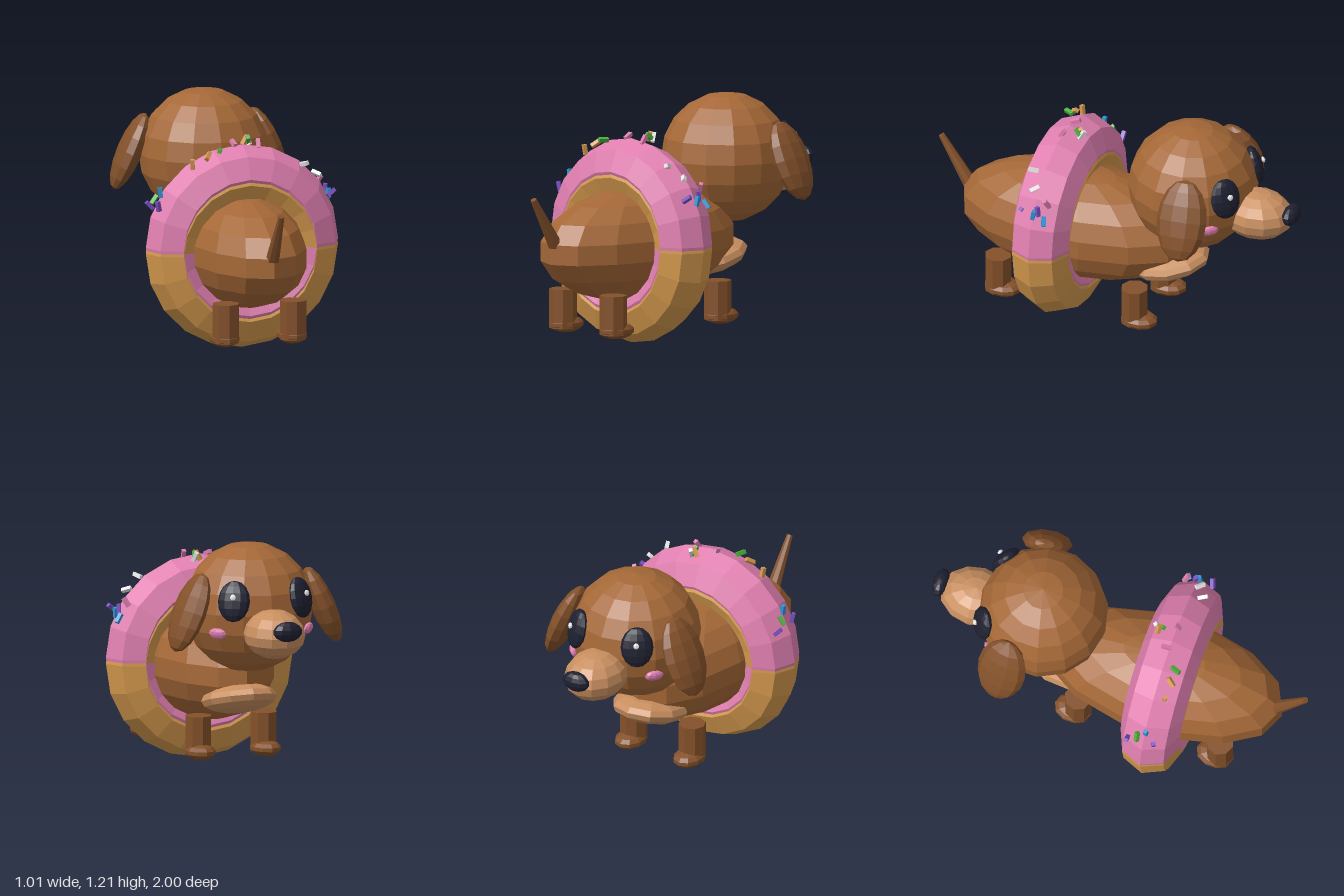
import * as THREE from 'three';

const palette = {
  fur: 0xa56837, darkFur: 0x84512a, muzzleTan: 0xc98f60, icing: 0xe07fb0, dough: 0xd69a4e,
  black: 0x1e2030, white: 0xf2f2f2, green: 0x4caf3c, blue: 0x2f96d6, purple: 0x7d4fc4,
};

export function createModel() {
  const model = new THREE.Group();
  model.name = 'dogInDoughnut';
  const mats = {};
  for (const [name, color] of Object.entries(palette)) {
    mats[name] = new THREE.MeshStandardMaterial({ color, flatShading: true });
    mats[name].name = name;
  }

  const add = (name, geometry, mat, pos, rot = [0, 0, 0]) => {
    const mesh = new THREE.Mesh(geometry, mats[mat]);
    mesh.name = name;
    mesh.position.set(...pos);
    mesh.rotation.set(...rot);
    model.add(mesh);
    return mesh;
  };
  // Ellipsoid with a column of vertices on the z axis
  const ball = (rx, ry, rz, w = 10, h = 8) =>
    new THREE.SphereGeometry(1, w, h).rotateY(Math.PI / 2).scale(rx, ry, rz);

  // Body and chest
  add('body', ball(0.307, 0.29, 0.635, 14, 9), 'fur', [0, 0.51, 0.235]);
  add('chest', ball(0.19, 0.075, 0.215, 10, 8), 'muzzleTan', [0, 0.39, -0.28], [0.25, 0, 0]);

  // Head, muzzle and nose
  const headCentre = new THREE.Vector3(0, 0.88, -0.41);
  add('head', ball(0.33, 0.33, 0.33, 14, 10), 'fur', headCentre.toArray());
  add('muzzle', ball(0.153, 0.125, 0.19, 12, 8), 'muzzleTan', [0, 0.793, -0.765]);
  add('nose', ball(0.077, 0.052, 0.042, 10, 7), 'black', [0, 0.833, -0.955]);

  // Flat oval laid on the head, facing away from its centre
  const onHead = (name, geometry, mat, pos) => {
    const mesh = add(name, geometry, mat, pos);
    mesh.lookAt(mesh.position.clone().multiplyScalar(2).sub(headCentre));
    return mesh;
  };

  for (const side of [-1, 1]) {
    const label = side > 0 ? 'left' : 'right';
    add(label + 'Ear', ball(0.062, 0.21, 0.13, 10, 8), 'darkFur',
      [side * 0.36, 0.885, -0.51], [0, side * 0.15, side * 0.4]);
    onHead(label + 'Eye', ball(0.083, 0.105, 0.04, 12, 8), 'black', [side * 0.18, 0.955, -0.67]);
    onHead(label + 'EyeGlint', ball(0.016, 0.016, 0.01, 6, 5), 'white', [side * 0.2, 0.982, -0.707]);
    onHead(label + 'Cheek', ball(0.05, 0.03, 0.02, 8, 6), 'icing', [side * 0.245, 0.785, -0.61]);

    // Legs and feet
    for (const [end, z] of [['Front', -0.165], ['Back', 0.59]]) {
      add(label + end + 'Leg', new THREE.CylinderGeometry(0.07, 0.07, 0.2, 8), 'darkFur',
        [side * 0.177, 0.195, z]);
      add(label + end + 'Foot', ball(0.077, 0.043, 0.1, 10, 7), 'darkFur',
        [side * 0.177, 0.113, z - 0.025]);
    }
  }

  // Tail
  add('tail', new THREE.CylinderGeometry(0.016, 0.038, 0.32, 8), 'darkFur',
    [0, 0.67, 0.9], [0.57, 0, 0]);

  // Doughnut: two equal rings, the icing raised slightly above the dough
  const ring = new THREE.TorusGeometry(0.35, 0.155, 8, 20);
  add('doughRing', ring, 'dough', [0, 0.51, 0.275]);
  add('icingRing', ring, 'icing', [0, 0.54, 0.275]);

  // Sprinkles: colour, x, y, z
  const sprinkles = [
    ['purple', -0.46, 0.74, 0.19], ['green', -0.45, 0.78, 0.24], ['blue', -0.43, 0.82, 0.28],
    ['purple', -0.455, 0.76, 0.33], ['dough', -0.275, 0.965, 0.33], ['dough', -0.195, 1.005, 0.335],
    ['green', -0.135, 1.03, 0.34], ['icing', -0.04, 1.05, 0.26], ['dough', 0.04, 1.05, 0.19],
    ['green', 0.055, 1.05, 0.2], ['white', 0.06, 1.045, 0.18], ['icing', 0.085, 1.045, 0.275],
    ['white', 0.31, 0.94, 0.335], ['white', 0.385, 0.88, 0.295], ['icing', 0.42, 0.83, 0.21],
    ['purple', 0.445, 0.79, 0.25], ['blue', 0.455, 0.77, 0.27], ['blue', 0.46, 0.75, 0.21],
    ['purple', 0.45, 0.785, 0.34],
  ];
  const stick = new THREE.BoxGeometry(0.02, 0.052, 0.02);
  sprinkles.forEach(([mat, x, y, z], i) =>
    add('sprinkle' + (i + 1), stick, mat, [x, y, z],
      [Math.sin(i * 2.3) * 0.8, i * 0.7, Math.sin(i * 3.7 + 1) * 0.9]));

  return model;
}
